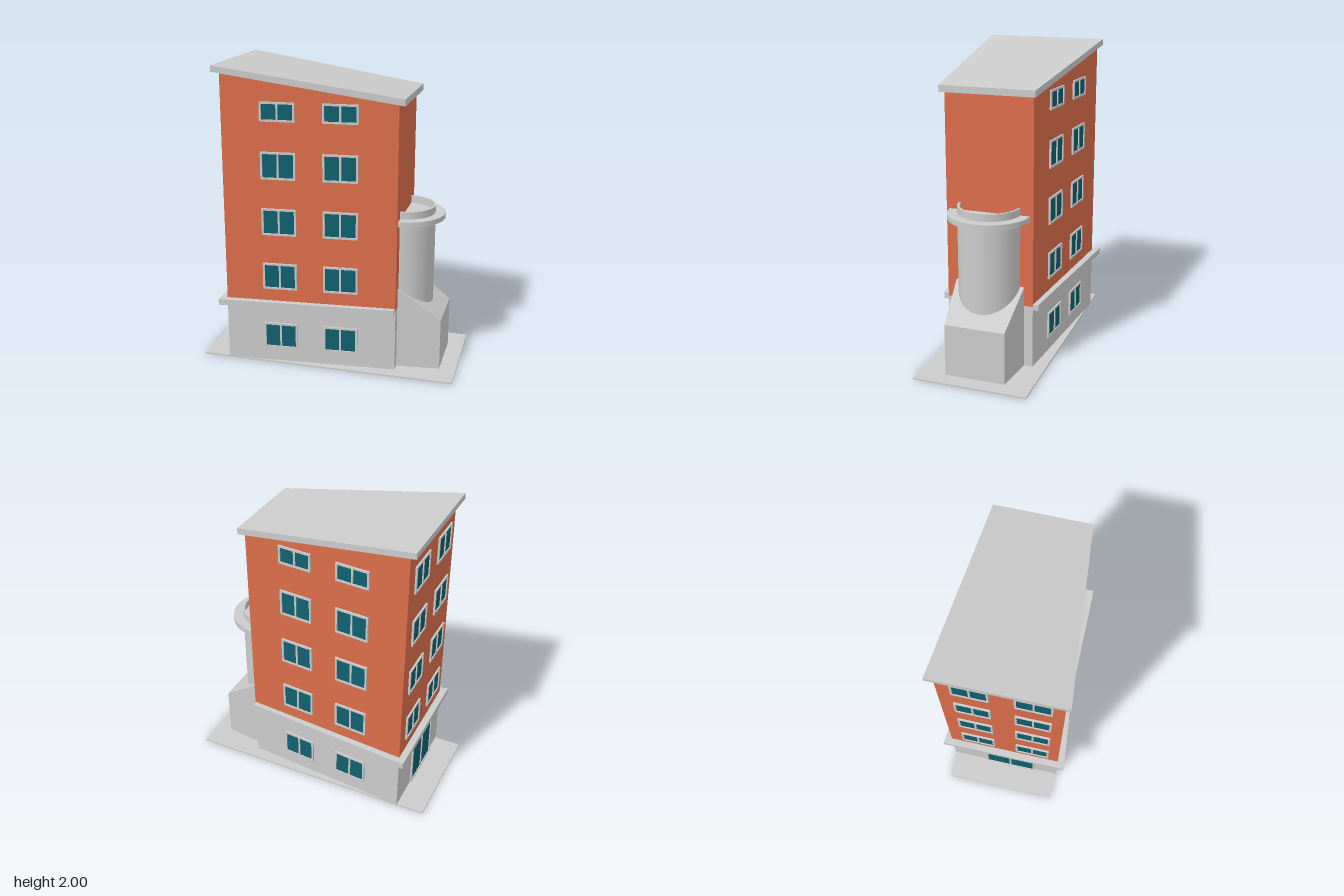
import * as THREE from 'three';
import { toCreasedNormals } from 'three/addons/utils/BufferGeometryUtils.js';

const GREY = new THREE.MeshStandardMaterial({ color: 0xcccccc });
const BRICK = new THREE.MeshStandardMaterial({ color: 0xdc6e4b });
const GLASS = new THREE.MeshStandardMaterial({ color: 0x10616f });

const X0 = -0.67, X1 = 0.46, H0 = 0.385, H1 = 0.29; // wall ends and half depths

function add(parent, name, geometry, material) {
  const mesh = new THREE.Mesh(geometry, material);
  mesh.name = name;
  parent.add(mesh);
  return mesh;
}

// Box tapering along x: each end is { x, half depth, bottom, top }
function taperedBlock(a, b) {
  const geo = new THREE.BoxGeometry(1, 1, 1);
  const p = geo.attributes.position;
  for (let i = 0; i < p.count; i++) {
    const end = p.getX(i) < 0 ? a : b;
    p.setXYZ(i, end.x, p.getY(i) < 0 ? end.bottom : end.top, Math.sign(p.getZ(i)) * end.half);
  }
  geo.computeVertexNormals();
  return geo;
}

function rectangle(x, y, w, h, Type) {
  const r = new Type();
  r.moveTo(x, y);
  r.lineTo(x + w, y);
  r.lineTo(x + w, y + h);
  r.lineTo(x, y + h);
  r.closePath();
  return r;
}

// Two-pane window facing +z, centred on its origin
function makeWindow(name, w, h) {
  const group = new THREE.Group();
  group.name = name;
  const border = 0.013, mullion = 0.012;
  const paneW = (w - 2 * border - mullion) / 2;
  const shape = rectangle(-w / 2, -h / 2, w, h, THREE.Shape);
  for (const x of [-w / 2 + border, mullion / 2]) {
    shape.holes.push(rectangle(x, -h / 2 + border, paneW, h - 2 * border, THREE.Path));
  }
  add(group, 'windowFrame', new THREE.ExtrudeGeometry(shape, { depth: 0.012, bevelEnabled: false }), GREY);
  const panes = add(group, 'windowPanes', new THREE.BoxGeometry(w - border, h - border, 0.004), GLASS);
  panes.position.z = 0.003;
  return group;
}

function halfLathe(points) {
  const profile = points.map(([r, y]) => new THREE.Vector2(r, y));
  return toCreasedNormals(new THREE.LatheGeometry(profile, 32, 0, Math.PI), 0.6);
}

export function createModel() {
  const model = new THREE.Group();
  model.name = 'building';

  // Ground slab
  add(model, 'groundSlab', new THREE.BoxGeometry(1.71, 0.01, 0.755), GREY).position.y = 0.005;

  // Ground floor, ledge, brick storeys and sloping roof
  add(model, 'groundFloor', taperedBlock(
    { x: X0, half: H0, bottom: 0.008, top: 0.43 },
    { x: X1, half: H1, bottom: 0.008, top: 0.43 }), GREY);
  add(model, 'ledge', taperedBlock(
    { x: -0.715, half: 0.435, bottom: 0.405, top: 0.445 },
    { x: 0.455, half: 0.325, bottom: 0.405, top: 0.445 }), GREY);
  add(model, 'brickStoreys', taperedBlock(
    { x: X0, half: H0, bottom: 0.43, top: 1.96 },
    { x: X1, half: H1, bottom: 0.43, top: 1.79 }), BRICK);
  add(model, 'roof', taperedBlock(
    { x: -0.715, half: 0.415, bottom: 1.96, top: 2 },
    { x: 0.5, half: 0.312, bottom: 1.782, top: 1.825 }), GREY);

  // Front and back windows, turned to follow the tapering walls
  const rows = [[0.107, 0.285], [0.53, 0.71], [0.905, 1.085], [1.28, 1.46], [1.655, 1.78]];
  const angle = Math.atan2(H0 - H1, X1 - X0);
  for (const [bottom, top] of rows) {
    for (const x of [-0.305, 0.097]) {
      const half = H0 + (H1 - H0) * (x - X0) / (X1 - X0);
      for (const side of [1, -1]) {
        const win = makeWindow(side > 0 ? 'frontWindow' : 'backWindow', 0.228, top - bottom);
        win.position.set(x, (bottom + top) / 2, side * half);
        win.rotation.y = side > 0 ? angle : Math.PI - angle;
        model.add(win);
      }
    }
  }

  // Windows and double door on the wide end
  for (const bottom of [0.53, 0.905, 1.28, 1.655]) {
    for (const z of [-0.18, 0.2]) {
      const win = makeWindow('endWindow', 0.23, 0.182);
      win.position.set(X0, bottom + 0.091, z);
      win.rotation.y = -Math.PI / 2;
      model.add(win);
    }
  }
  const door = makeWindow('doubleDoor', 0.36, 0.327);
  door.position.set(X0, 0.1735, 0.04);
  door.rotation.y = -Math.PI / 2;
  model.add(door);

  // Sloping buttress at the narrow end
  add(model, 'buttress', taperedBlock(
    { x: 0.455, half: 0.232, bottom: 0.008, top: 0.56 },
    { x: 0.745, half: 0.2, bottom: 0.008, top: 0.355 }), GREY);

  // Half-round turret with a thin parapet and a projecting collar
  const turret = new THREE.Group();
  turret.name = 'turret';
  turret.position.x = 0.452;
  add(turret, 'turretWall', halfLathe(
    [[0.205, 0.35], [0.205, 1.08], [0.191, 1.08], [0.191, 1.03], [0, 1.03]]), GREY);
  add(turret, 'turretCollar', halfLathe(
    [[0.2, 0.998], [0.27, 0.998], [0.27, 1.032], [0.2, 1.032]]), GREY);
  model.add(turret);

  return model;
}
